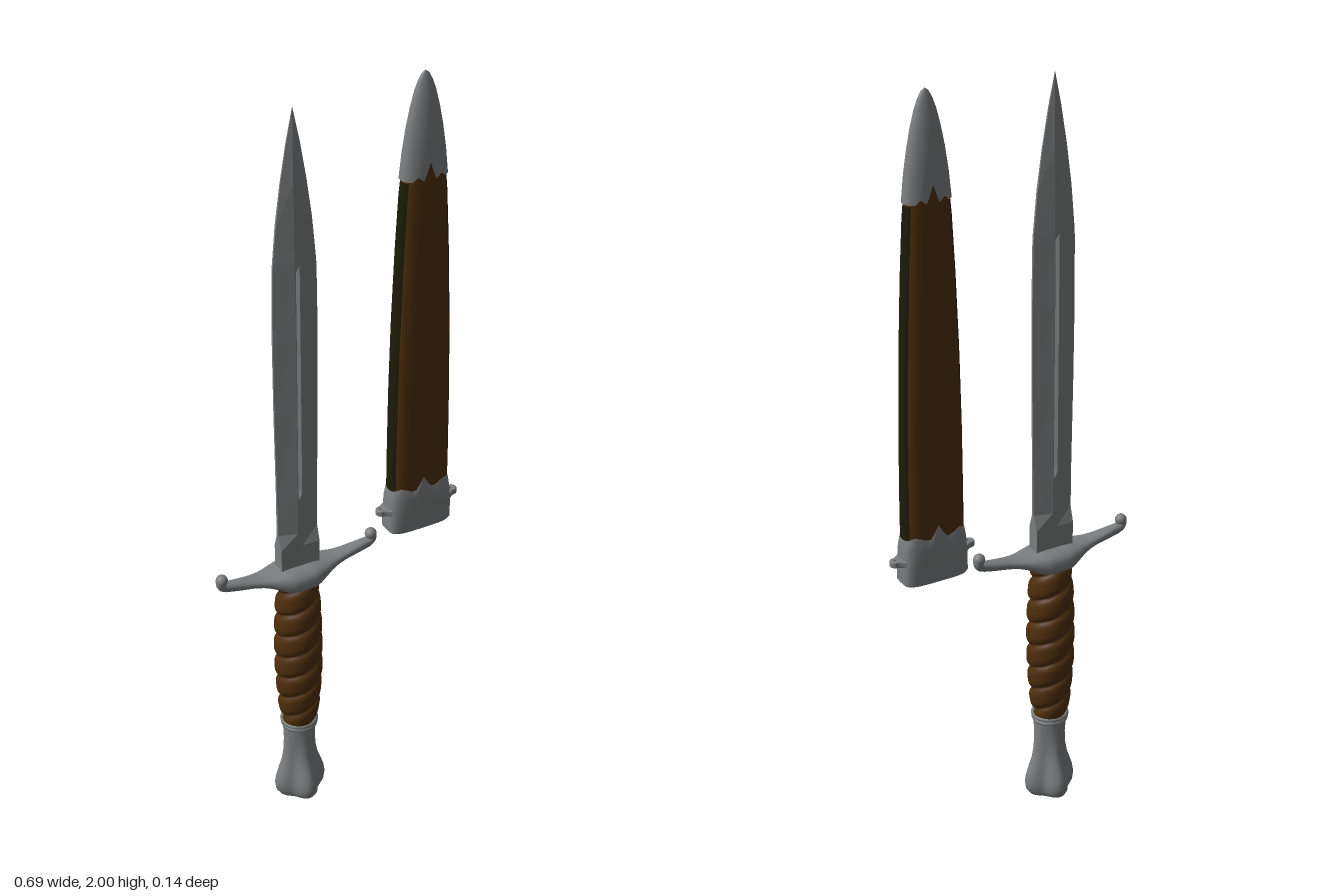
import * as THREE from 'three';

const mat = (name, color, side = THREE.FrontSide) => {
  const m = new THREE.MeshStandardMaterial({ color, side });
  m.name = name;
  return m;
};

// Skin a grid of rows of points; every row is a closed loop.
function skin(rows, cols, point, faceted = false) {
  const pos = [], index = [];
  for (let i = 0; i < rows; i++) {
    for (let j = 0; j < cols; j++) {
      pos.push(...point(i, j));
      if (i === rows - 1) continue;
      const k = (j + 1) % cols;
      const a = i * cols + j, b = i * cols + k, c = a + cols, d = b + cols;
      index.push(a, c, b, b, c, d);
    }
  }
  let g = new THREE.BufferGeometry();
  g.setAttribute('position', new THREE.Float32BufferAttribute(pos, 3));
  g.setIndex(index);
  if (faceted) g = g.toNonIndexed();
  g.computeVertexNormals();
  return g;
}

// Point of a superellipse at angle t: n = 2 is an ellipse, larger n is boxier.
const superPoint = (t, n) => [Math.cos(t), Math.sin(t)]
  .map(v => Math.sign(v) * Math.pow(Math.abs(v), 2 / n));

// Upright body from rings [y, half width, half depth, n]; edge(s, i) shifts y of ring i.
function body(rings, cols = 64, edge = () => 0) {
  return skin(rings.length, cols, (i, j) => {
    const [y, w, d, n] = rings[i];
    const [cx, cz] = superPoint(j / cols * Math.PI * 2, n);
    return [cx * w, y + edge(cx, i), cz * d];
  });
}

// Linear lookup in a table whose first column is the key.
function lookup(table, key) {
  let i = 1;
  while (i < table.length - 1 && table[i][0] < key) i++;
  const a = table[i - 1], b = table[i];
  const t = THREE.MathUtils.clamp((key - a[0]) / (b[0] - a[0]), 0, 1);
  return a.map((v, k) => v + (b[k] - v) * t);
}

export function createModel() {
  const steel = mat('steel', 0x7b7e7f);
  const brown = mat('brown leather', 0x4e2f0c, THREE.DoubleSide);
  const dark = mat('dark seam', 0x1b1a08, THREE.DoubleSide);
  const shell = mat('fitting steel', 0x7b7e7f, THREE.DoubleSide);

  const model = new THREE.Group();
  const dagger = new THREE.Group();
  dagger.name = 'dagger';
  dagger.position.x = -0.117;
  const scabbard = new THREE.Group();
  scabbard.name = 'scabbard';
  scabbard.position.x = 0.2285;
  model.add(dagger, scabbard);
  const add = (parent, name, geometry, material) => {
    const m = new THREE.Mesh(geometry, material);
    m.name = name;
    parent.add(m);
    return m;
  };

  // Blade rings: y, half width, edge half thickness, spine half thickness, fuller depth
  const blade = [
    [0.72, 0.053, 0.018, 0.018, 0], [0.8, 0.054, 0.018, 0.018, 0],
    [0.84, 0.055, 0.004, 0.018, 0], [0.94, 0.056, 0.003, 0.018, 0],
    [0.96, 0.056, 0.003, 0.018, 0.008], [1.2, 0.059, 0.003, 0.018, 0.008],
    [1.4, 0.06, 0.003, 0.018, 0.008], [1.57, 0.058, 0.003, 0.017, 0.008],
    [1.59, 0.057, 0.003, 0.017, 0], [1.7, 0.047, 0.003, 0.015, 0],
    [1.8, 0.034, 0.002, 0.012, 0], [1.9, 0.017, 0.002, 0.007, 0],
    [1.985, 0, 0, 0, 0],
  ];
  add(dagger, 'blade', skin(blade.length, 10, (i, j) => {
    const [y, w, e, t, d] = blade[i];
    const side = j < 5 ? 1 : -1, k = j % 5;
    const f = Math.min(0.006, w * 0.2);
    const x = [w, f, 0, -f, -w][k] * side;
    const z = [e, t, t - d, t, e][k] * side;
    return [x, y, z];
  }, true), steel);

  // Guard: distance from centre, bottom, top, half depth
  const guard = [
    [0, 0.672, 0.742, 0.058], [0.03, 0.672, 0.742, 0.057], [0.045, 0.677, 0.741, 0.052],
    [0.065, 0.689, 0.738, 0.044], [0.085, 0.699, 0.736, 0.035], [0.105, 0.706, 0.735, 0.028],
    [0.13, 0.711, 0.737, 0.022], [0.17, 0.716, 0.743, 0.017], [0.205, 0.722, 0.748, 0.013],
  ];
  add(dagger, 'guard', skin(65, 32, (i, j) => {
    const x = (i / 32 - 1) * 0.205;
    const [, lo, hi, d] = lookup(guard, Math.abs(x));
    const [cz, cy] = superPoint(j / 32 * Math.PI * 2, 2.4);
    return [x, (lo + hi) / 2 + cy * (hi - lo) / 2, cz * d];
  }), steel);

  // Curled ends of the guard
  for (const s of [1, -1]) {
    const path = new THREE.CatmullRomCurve3(
      [[0.19, 0.733], [0.208, 0.737], [0.215, 0.75], [0.211, 0.758]]
        .map(([x, y]) => new THREE.Vector3(x * s, y, 0)));
    add(dagger, 'guardCurl', new THREE.TubeGeometry(path, 16, 0.013, 14), steel);
    const knob = add(dagger, 'guardKnob', new THREE.SphereGeometry(0.0155, 16, 12), steel);
    knob.position.set(0.212 * s, 0.757, 0);
  }

  // Twisted grip: two ridges wind around a gently swelling core
  const swell = [[0.24, 0.046], [0.3, 0.055], [0.4, 0.062], [0.5, 0.063], [0.6, 0.06], [0.685, 0.053]];
  add(dagger, 'grip', skin(141, 48, (i, j) => {
    const y = 0.24 + 0.445 * i / 140, t = j / 48 * Math.PI * 2;
    const ridge = Math.abs(Math.sin(Math.PI * y / 0.066 + t));
    const r = lookup(swell, y)[1] - 0.009 * Math.pow(1 - ridge, 2);
    return [Math.cos(t) * r, y, Math.sin(t) * r];
  }), brown);

  // Collar rings between grip and pommel
  for (const [y, r] of [[0.242, 0.046], [0.23, 0.044]]) {
    const ring = add(dagger, 'collar', new THREE.TorusGeometry(r - 0.003, 0.007, 10, 40), steel);
    ring.rotation.x = Math.PI / 2;
    ring.position.y = y;
  }

  // Four-lobed flared pommel: y, radius, lobe height
  const pommel = [
    [0.006, 0, 0], [0.002, 0.025, 0.002], [0, 0.042, 0.004], [0.006, 0.053, 0.006],
    [0.02, 0.06, 0.009], [0.04, 0.062, 0.01], [0.06, 0.059, 0.01], [0.085, 0.053, 0.008],
    [0.11, 0.046, 0.006], [0.14, 0.042, 0.004], [0.18, 0.041, 0.002], [0.22, 0.043, 0],
    [0.245, 0.044, 0], [0.246, 0, 0],
  ];
  add(dagger, 'pommel', skin(pommel.length, 64, (i, j) => {
    const [y, r, a] = pommel[i], t = j / 64 * Math.PI * 2;
    const q = r + a * Math.cos(4 * t);
    return [Math.cos(t) * q, y, Math.sin(t) * q];
  }), steel);

  // Leather sheath body
  const sheath = [
    [0.82, 0.082, 0.035, 3], [0.95, 0.082, 0.035, 3], [1.15, 0.08, 0.035, 3],
    [1.35, 0.076, 0.034, 2.8], [1.55, 0.069, 0.032, 2.6], [1.7, 0.061, 0.03, 2.5],
    [1.8, 0.051, 0.027, 2.3],
  ];
  add(scabbard, 'sheath', body(sheath), brown);

  // Dark seam strips down both narrow sides
  for (const s of [1, -1]) {
    const strip = new THREE.PlaneGeometry(1, 1, 8, 24);
    const p = strip.attributes.position;
    for (let i = 0; i < p.count; i++) {
      const y = 1.29 + p.getY(i) * 0.88, v = p.getX(i) * 1.3;
      const [, w, d, n] = lookup(sheath, y);
      const x = w * Math.pow(1 - Math.pow(Math.abs(v), n), 1 / n) + 0.001;
      p.setXYZ(i, s * x, y, -s * v * d);
    }
    strip.computeVertexNormals();
    add(scabbard, 'sideSeam', strip, dark);
  }

  // Tip fitting with a notched lower edge
  const peak = (s, width) => Math.max(0, 1 - Math.abs(s) / width);
  add(scabbard, 'tipFitting', body([
    [1.735, 0.062, 0.033, 2.5], [1.8, 0.056, 0.031, 2.3], [1.86, 0.048, 0.028, 2],
    [1.91, 0.038, 0.023, 2], [1.95, 0.028, 0.017, 2], [1.975, 0.019, 0.011, 2],
    [1.992, 0.01, 0.006, 2], [2, 0, 0, 2],
  ], 96, (s, i) => i ? 0 : 0.045 * peak(s, 0.25) + 0.012 * peak(Math.abs(s) - 0.5, 0.2)), shell);

  // Mouth fitting with a scalloped upper edge, rim and dark slot
  add(scabbard, 'mouthFitting', body([
    [0.752, 0.07, 0.024, 4], [0.752, 0.086, 0.037, 4], [0.752, 0.086, 0.037, 4],
    [0.758, 0.09, 0.04, 4], [0.81, 0.089, 0.04, 4], [0.85, 0.087, 0.039, 3.6],
    [0.872, 0.084, 0.0365, 3.1], [0.872, 0.081, 0.034, 3],
  ], 96, (s, i) => i < 6 ? 0
    : 0.033 * peak(s, 0.25) + 0.012 * peak(Math.abs(s) - 0.75, 0.35)), shell);
  add(scabbard, 'mouthSlot', body([
    [0.752, 0.07, 0.024, 4], [0.81, 0.068, 0.022, 4], [0.81, 0, 0, 4],
  ]), dark);

  // Pierced lugs on both sides of the mouth fitting
  const outline = new THREE.Shape();
  outline.moveTo(0, -0.024);
  outline.quadraticCurveTo(0.014, -0.012, 0.02, -0.012);
  outline.absarc(0.02, 0, 0.012, -Math.PI / 2, Math.PI / 2, false);
  outline.quadraticCurveTo(0.014, 0.012, 0, 0.024);
  outline.holes.push(new THREE.Path().absellipse(0.019, 0, 0.005, 0.006, 0, Math.PI * 2, true));
  for (const s of [1, -1]) {
    const lug = add(scabbard, 'lug', new THREE.ExtrudeGeometry(outline, {
      depth: 0.01, bevelSize: 0.002, bevelThickness: 0.003, bevelSegments: 2, curveSegments: 10,
    }), steel);
    lug.rotation.set(-Math.PI / 2, 0, s > 0 ? 0 : Math.PI);
    lug.position.set(s * 0.084, 0.809, 0);
  }
  return model;
}
